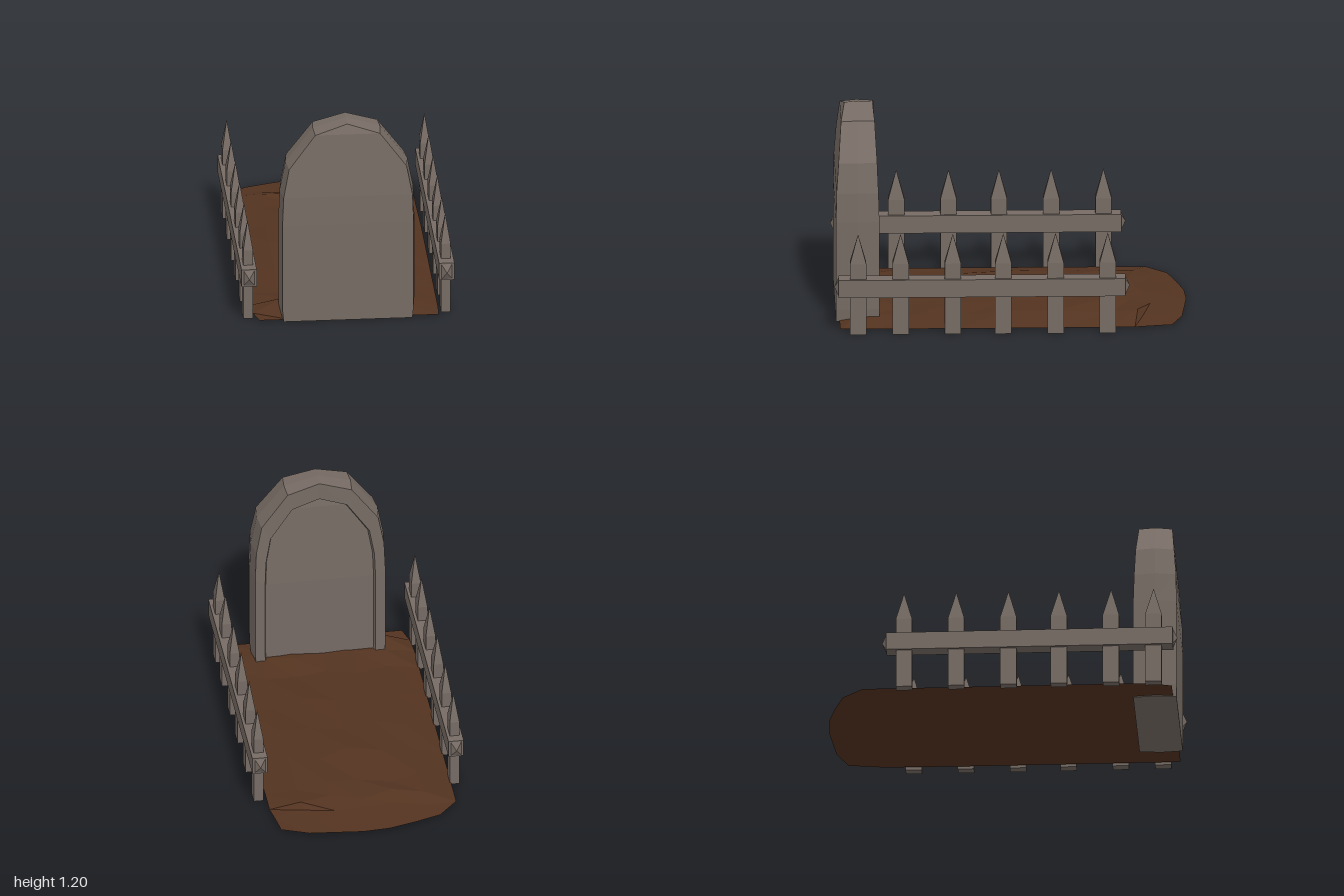
import * as THREE from 'three';

const stone = new THREE.MeshStandardMaterial({ color: 0x766b64 });
const earth = new THREE.MeshStandardMaterial({ color: 0x533320 });
stone.name = 'weathered stone';
earth.name = 'brown earth';
stone.flatShading = earth.flatShading = true;

function facets(quads) {
  const pos = [];
  for (const [a, b, c, d] of quads) pos.push(...a, ...b, ...c, ...a, ...c, ...d);
  const g = new THREE.BufferGeometry();
  g.setAttribute('position', new THREE.Float32BufferAttribute(pos, 3));
  g.computeVertexNormals();
  return g;
}

function add(parent, name, geometry, material) {
  const mesh = new THREE.Mesh(geometry, material);
  mesh.name = name;
  parent.add(mesh);
  return mesh;
}

// Headstone: arched loops from the front face to the recessed back panel
function headstoneGeometry() {
  // half width, height, front z, back z
  const half = [
    [0.378, 0.005, 0.985, 0.74], [0.385, 0.08, 0.985, 0.74], [0.385, 0.6, 0.985, 0.74],
    [0.378, 0.77, 0.982, 0.745], [0.345, 0.94, 0.97, 0.752], [0.19, 1.14, 0.953, 0.763], [0, 1.195, 0.93, 0.772],
  ];
  const loop = (sx, sy, depth) => {
    const right = half.map(([x, y, f, b]) => [x * sx, Math.max(0.005, y * sy), depth(f, b)]);
    return [...right, ...right.slice(0, -1).reverse().map(([x, y, z]) => [-x, y, z])];
  };
  const loops = [
    loop(0.965, 0.994, (f) => f),
    loop(1, 1, (f, b) => (f + b) / 2),
    loop(0.965, 0.997, (f, b) => b),
    loop(0.82, 0.91, (f, b) => b),
    loop(0.8, 0.9, (f, b) => b + 0.025),
  ];
  const n = loops[0].length, quads = [];
  for (let k = 0; k < loops.length - 1; k++) {
    for (let i = 0; i < n; i++) {
      const j = (i + 1) % n;
      quads.push([loops[k][i], loops[k + 1][i], loops[k + 1][j], loops[k][j]]);
    }
  }
  const front = loops[0], back = loops[loops.length - 1];
  for (let i = 0; i < half.length - 1; i++) {
    const l = n - 1 - i;
    quads.push([front[l], front[i], front[i + 1], front[l - 1]]);
    quads.push([back[i], back[l], back[l - 1], back[i + 1]]);
  }
  return facets(quads);
}

// Earth mound: uneven rows from back to front; flat = underside
function moundGeometry(flat) {
  const backArc = [-0.9, -0.95, -0.99, -1, -0.985, -0.97, -0.91];
  // z, left edge, right edge, crown height
  const rows = [
    [-1, -0.43, 0.48, 0], [-0.78, -0.54, 0.5, 0.02], [-0.7, -0.54, 0.515, 0.045], [-0.55, -0.54, 0.515, 0.042],
    [-0.28, -0.54, 0.52, 0.06], [0, -0.54, 0.52, 0.043], [0.3, -0.54, 0.52, 0.03],
    [0.58, -0.54, 0.52, 0.016], [0.75, -0.54, 0.52, 0.035], [0.86, -0.53, 0.52, 0.04], [0.965, -0.5, 0.515, 0],
  ];
  const cols = 7;
  const grid = rows.map(([z, x0, x1, h], r) => Array.from({ length: cols }, (_, c) => {
    const t = c / (cols - 1);
    const edge = c === 0 || c === cols - 1;
    const wobble = h * 0.22 * Math.sin(r * 2.3 + c * 1.9);
    const bump = r === 9 && c === 1 ? 0.05 : 0;
    const y = flat || edge ? 0 : h * (1 - Math.abs(2 * t - 1) ** 4) + wobble + bump;
    const shift = r > 0 && r < rows.length - 1 && !edge ? 0.03 * Math.sin(r * 1.7 + c * 2.6) : 0;
    return [x0 + (x1 - x0) * t, 0.01 + y, r === 0 ? backArc[c] : z + shift];
  }));
  const quads = [];
  for (let r = 0; r < rows.length - 1; r++) {
    for (let c = 0; c < cols - 1; c++) {
      const q = [grid[r][c], grid[r + 1][c], grid[r + 1][c + 1], grid[r][c + 1]];
      quads.push(flat ? q.reverse() : q);
    }
  }
  return facets(quads);
}

// Four-sided spike standing on y = 0
function spike(w, h, d) {
  const g = new THREE.ConeGeometry(Math.SQRT1_2, 1, 4, 1);
  return g.rotateY(Math.PI / 4).scale(w, h, d).translate(0, h / 2, 0);
}

function createFence() {
  const fence = new THREE.Group();
  const post = new THREE.BoxGeometry(0.055, 0.42, 0.092).translate(0, 0.21, 0);
  const tip = spike(0.055, 0.17, 0.092).translate(0, 0.42, 0);
  for (const z of [0.865, 0.625, 0.33, 0.045, -0.25, -0.545]) {
    const picket = new THREE.Group();
    picket.name = 'picket';
    picket.position.z = z;
    add(picket, 'picketPost', post, stone);
    add(picket, 'picketTip', tip, stone);
    fence.add(picket);
  }
  add(fence, 'rail', new THREE.BoxGeometry(0.087, 0.104, 1.62), stone).position.set(0, 0.277, 0.165);
  // Pointed studs at both rail ends
  for (const s of [1, -1]) {
    const stud = spike(0.06, 0.025, 0.09).rotateX(s * Math.PI / 2);
    add(fence, 'railEnd', stud, stone).position.set(0, 0.277, 0.165 + s * 0.81);
  }
  return fence;
}

export function createModel() {
  const model = new THREE.Group();
  model.name = 'grave';
  add(model, 'headstone', headstoneGeometry(), stone);
  add(model, 'mound', moundGeometry(false), earth);
  add(model, 'moundUnderside', moundGeometry(true), earth);
  for (const s of [1, -1]) {
    const fence = createFence();
    fence.name = s > 0 ? 'leftFence' : 'rightFence';
    fence.position.x = s * 0.56;
    model.add(fence);
  }
  return model;
}
